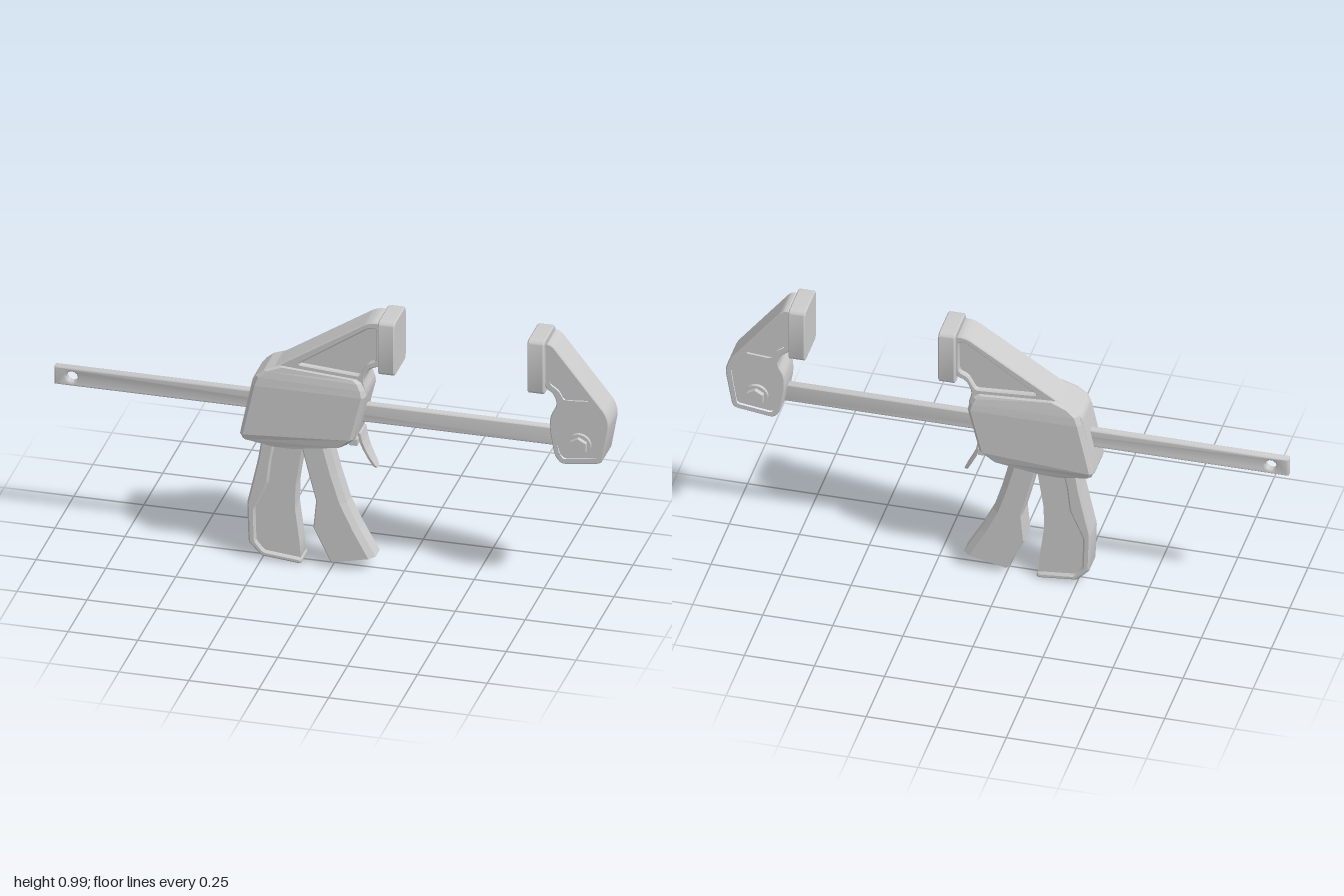
import * as THREE from 'three';
import { toCreasedNormals } from 'three/addons/utils/BufferGeometryUtils.js';

const smooth = () => new THREE.MeshStandardMaterial({ color: 0xcccccc });
const faceted = () => new THREE.MeshStandardMaterial({ color: 0xcccccc, flatShading: true });

// Polygon with every corner rounded by radius r
function roundedPoly(points, r, path = new THREE.Shape()) {
  const p = points.map(([x, y]) => new THREE.Vector2(x, y));
  p.forEach((c, i) => {
    const toward = (q) => {
      const d = q.clone().sub(c);
      return c.clone().add(d.setLength(Math.min(r, d.length() * 0.45)));
    };
    const a = toward(p[(i + p.length - 1) % p.length]);
    const b = toward(p[(i + 1) % p.length]);
    if (i === 0) path.moveTo(a.x, a.y);
    else path.lineTo(a.x, a.y);
    path.quadraticCurveTo(c.x, c.y, b.x, b.y);
  });
  path.closePath();
  return path;
}

// Extrusion centred on z = 0; the bevel stays inside the outline
function slab(name, shape, half, bevel = 0, segments = 1) {
  const geo = new THREE.ExtrudeGeometry(shape, {
    depth: 2 * (half - bevel), curveSegments: 5, bevelEnabled: bevel > 0,
    bevelThickness: bevel, bevelSize: bevel, bevelOffset: -bevel, bevelSegments: segments,
  });
  geo.translate(0, 0, -(half - bevel));
  const mesh = new THREE.Mesh(toCreasedNormals(geo, 0.6), smooth());
  mesh.name = name;
  return mesh;
}

// Frame with recessed panels: rim at full depth, thinner web in each pocket
function recessed(name, outline, pockets, half, web, r) {
  const g = new THREE.Group();
  g.name = name;
  const shape = roundedPoly(outline, r);
  for (const p of pockets) {
    shape.holes.push(roundedPoly(p, 0.012, new THREE.Path()));
    g.add(slab(name + 'Web', roundedPoly(p, 0.012), web));
  }
  g.add(slab(name + 'Rim', shape, half, 0.004));
  return g;
}

// Eight-sided section from left point to right point, half width w, chamfers cl and cr
function section(xl, yl, xr, yr, w, cl, cr = cl, cz = cl) {
  const at = (x, z) => [x, yl + ((yr - yl) * (x - xl)) / (xr - xl), z];
  return [
    at(xl + cl, w), at(xr - cr, w), at(xr, w - cz), at(xr, cz - w),
    at(xr - cr, -w), at(xl + cl, -w), at(xl, cl - w), at(xl, w - cl),
  ];
}

// Skin over sections listed from bottom to top, with both ends closed
function loft(name, rings) {
  const n = rings[0].length, last = (rings.length - 1) * n, index = [];
  for (let i = 0; i < rings.length - 1; i++) {
    for (let j = 0; j < n; j++) {
      const a = i * n + j, b = i * n + ((j + 1) % n);
      index.push(a, b, b + n, a, b + n, a + n);
    }
  }
  for (let j = 1; j < n - 1; j++) index.push(0, j + 1, j, last, last + j, last + j + 1);
  const geo = new THREE.BufferGeometry();
  geo.setAttribute('position', new THREE.Float32BufferAttribute(rings.flat(2), 3));
  geo.setIndex(index);
  const flat = geo.toNonIndexed();
  flat.computeVertexNormals();
  const mesh = new THREE.Mesh(flat, faceted());
  mesh.name = name;
  return mesh;
}

// Rounded pressing pad, facing along x
function pad(name, x) {
  const w = 0.078, h = 0.103;
  const mesh = slab(name, roundedPoly([[-w, -h], [w, -h], [w, h], [-w, h]], 0.022), 0.03, 0.004);
  mesh.rotation.y = Math.PI / 2;
  mesh.position.set(x, 0.897, 0);
  return mesh;
}

export function createModel() {
  const model = new THREE.Group();
  model.name = 'barClamp';

  // Sliding bar with a cross hole near its free end
  const barShape = roundedPoly([[-1, 0.574], [0.86, 0.574], [0.86, 0.644], [-1, 0.644]], 0.004);
  const hole = new THREE.Path();
  hole.absarc(-0.936, 0.609, 0.02, 0, Math.PI * 2, true);
  barShape.holes.push(hole);
  model.add(slab('bar', barShape, 0.015, 0.007, 3));

  // Near jaw, running down through the body
  model.add(recessed('nearJaw', [
    [-0.165, 0.462], [0.05, 0.492], [0.094, 0.528], [0.133, 0.715], [0.118, 0.76],
    [0.138, 0.805], [0.18, 0.82], [0.18, 0.99], [0.135, 0.985], [-0.2, 0.77],
    [-0.274, 0.728], [-0.324, 0.492],
  ], [[
    [-0.115, 0.79], [0.14, 0.962], [0.165, 0.965], [0.165, 0.84], [0.132, 0.825], [0.105, 0.775],
  ]], 0.06, 0.042, 0.02));
  model.add(pad('nearPad', 0.205));

  // Body housing
  model.add(loft('body', [
    section(-0.21, 0.466, -0.12, 0.466, 0.072, 0.012),
    section(-0.31, 0.484, 0.045, 0.495, 0.078, 0.012),
    section(-0.318, 0.505, 0.088, 0.532, 0.085, 0.012),
    section(-0.275, 0.7, 0.13, 0.7, 0.085, 0.012),
    section(-0.263, 0.733, 0.124, 0.725, 0.082, 0.012),
    section(-0.235, 0.757, 0.112, 0.748, 0.078, 0.012),
    section(-0.18, 0.778, 0.095, 0.76, 0.074, 0.012),
  ]));

  // Far jaw fixed to the end of the bar
  model.add(recessed('farJaw', [
    [0.768, 0.99], [0.795, 0.985], [0.988, 0.742], [1, 0.7], [0.973, 0.548], [0.825, 0.528],
    [0.802, 0.56], [0.785, 0.66], [0.788, 0.712], [0.813, 0.755], [0.8, 0.797], [0.768, 0.815],
  ], [
    [[0.782, 0.968], [0.795, 0.96], [0.932, 0.78], [0.835, 0.772], [0.815, 0.808], [0.782, 0.83]],
    [[0.803, 0.705], [0.832, 0.757], [0.94, 0.757], [0.984, 0.71], [0.96, 0.562],
      [0.832, 0.545], [0.815, 0.57], [0.8, 0.66]],
  ], 0.06, 0.045, 0.02));
  model.add(pad('farPad', 0.74));

  // Bolt heads on both sides of the far jaw
  for (const side of [1, -1]) {
    for (const [name, r, h, n] of [['washer', 0.042, 0.014, 24], ['boltHead', 0.033, 0.032, 6]]) {
      const geo = new THREE.CylinderGeometry(r, r, h, n);
      const mesh = new THREE.Mesh(toCreasedNormals(geo, 0.6), smooth());
      mesh.name = name;
      mesh.rotation.x = Math.PI / 2;
      mesh.position.set(0.89, 0.608, side * (0.043 + h / 2));
      model.add(mesh);
    }
  }

  // Fixed grip: thin web with a thicker rim on the back and foot
  const grip = new THREE.Group();
  grip.name = 'grip';
  grip.add(slab('gripWeb', roundedPoly([
    [-0.245, 0.5], [-0.258, 0.41], [-0.295, 0.22], [-0.29, 0.07], [-0.25, 0.03], [-0.11, 0.015],
    [-0.117, 0.1], [-0.133, 0.22], [-0.13, 0.31], [-0.1, 0.5],
  ], 0.015), 0.034));
  grip.add(slab('gripRim', roundedPoly([
    [-0.247, 0.5], [-0.262, 0.4], [-0.302, 0.22], [-0.297, 0.07], [-0.25, 0.022], [-0.107, 0.008],
    [-0.107, 0.03], [-0.24, 0.043], [-0.27, 0.078], [-0.273, 0.2], [-0.225, 0.31], [-0.215, 0.4],
    [-0.195, 0.5],
  ], 0.01), 0.045, 0.007));
  model.add(grip);

  // Squeeze trigger with chamfered front and a pocket in its foot
  model.add(loft('trigger', [
    section(0.012, 0.075, 0.12, 0.1, 0.033, 0.004, 0.012),
    section(0.015, 0.034, 0.137, 0.061, 0.033, 0.004, 0.012),
    section(-0.003, 0.03, 0.155, 0.065, 0.044, 0.005, 0.022, 0.016),
    section(-0.065, 0.155, 0.098, 0.165, 0.044, 0.005, 0.022, 0.016),
    section(-0.055, 0.26, 0.052, 0.26, 0.044, 0.005, 0.022, 0.016),
    section(-0.08, 0.355, 0.018, 0.37, 0.044, 0.005, 0.022, 0.016),
    section(-0.11, 0.475, -0.015, 0.5, 0.044, 0.005, 0.022, 0.016),
  ]));

  // Release lever curling out below the body
  const lever = [
    [0.152, 0.402, 0.011], [0.147, 0.412, 0.02], [0.132, 0.44, 0.026],
    [0.115, 0.475, 0.031], [0.105, 0.505, 0.036], [0.098, 0.54, 0.039],
  ];
  model.add(loft('releaseLever', lever.map(([x, y, w]) => section(x - 0.006, y, x + 0.006, y, w, 0.002))));
  const hinge = new THREE.Mesh(new THREE.BoxGeometry(0.03, 0.025, 0.115), faceted());
  hinge.name = 'leverHinge';
  hinge.position.set(0.082, 0.513, 0);
  model.add(hinge);

  return model;
}
